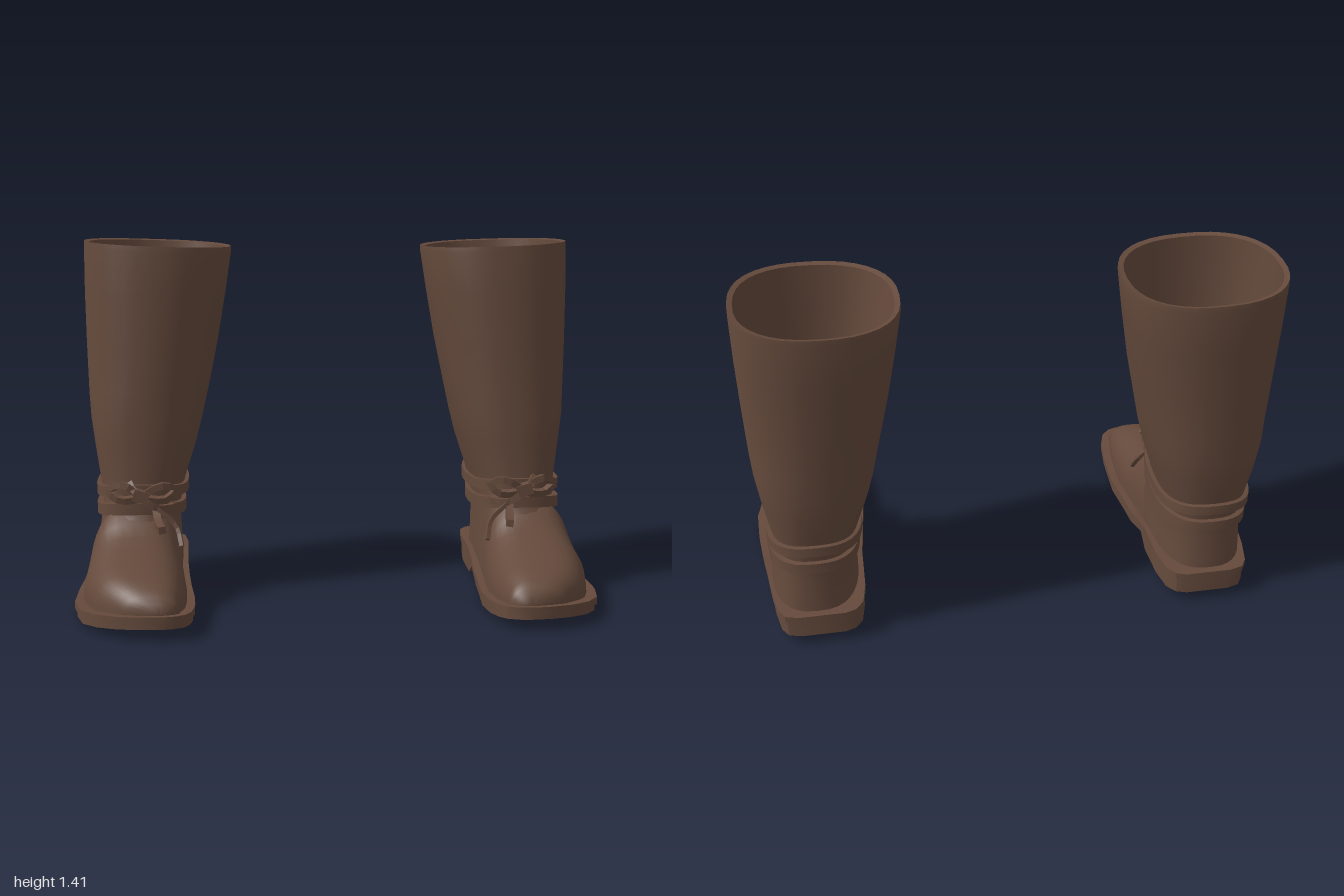
import * as THREE from 'three';
import { toCreasedNormals } from 'three/addons/utils/BufferGeometryUtils.js';

// Linear lookup in rows of [key, a, b, ...] sorted by key
function lookup(rows, k) {
  let i = 0;
  while (i < rows.length - 2 && k > rows[i + 1][0]) i++;
  const a = rows[i], b = rows[i + 1];
  const t = THREE.MathUtils.clamp((k - a[0]) / (b[0] - a[0]), 0, 1);
  return a.slice(1).map((v, j) => v + (b[j + 1] - v) * t);
}

// Skin over closed rings of [x, y, z]; ends are capped, or joined when loop is true
function loft(rings, crease = 0.6, loop = false) {
  const n = rings[0].length, m = rings.length, pts = rings.flat(), idx = [];
  for (let r = 0; r < (loop ? m : m - 1); r++) for (let i = 0; i < n; i++) {
    const j = (i + 1) % n, s = ((r + 1) % m) * n;
    idx.push(r * n + i, r * n + j, s + j, r * n + i, s + j, s + i);
  }
  if (!loop) [0, m - 1].forEach((r) => {
    const c = pts.length;
    pts.push([0, 1, 2].map((k) => rings[r].reduce((sum, p) => sum + p[k], 0) / n));
    for (let i = 0; i < n; i++) {
      const a = r * n + i, b = r * n + (i + 1) % n;
      idx.push(c, ...(r ? [a, b] : [b, a]));
    }
  });
  // Turn all faces outward
  let volume = 0;
  const [a, b, c] = [0, 1, 2].map(() => new THREE.Vector3());
  for (let i = 0; i < idx.length; i += 3) {
    a.fromArray(pts[idx[i]]); b.fromArray(pts[idx[i + 1]]); c.fromArray(pts[idx[i + 2]]);
    volume += a.dot(b.cross(c));
  }
  if (volume < 0) idx.reverse();
  const g = new THREE.BufferGeometry();
  g.setAttribute('position', new THREE.Float32BufferAttribute(pts.flat(), 3));
  g.setIndex(idx);
  return toCreasedNormals(g, crease);
}

// Mirror a geometry in x and keep its faces outward
function mirrored(geometry) {
  const g = geometry.index ? geometry.toNonIndexed() : geometry.clone();
  g.applyMatrix4(new THREE.Matrix4().makeScale(-1, 1, 1));
  for (const attr of Object.values(g.attributes)) {
    const s = attr.itemSize, arr = attr.array;
    for (let i = 0; i < arr.length; i += 3 * s) for (let k = 0; k < s; k++) {
      [arr[i + s + k], arr[i + 2 * s + k]] = [arr[i + 2 * s + k], arr[i + s + k]];
    }
  }
  return g;
}

const power = (v, n) => Math.sign(v) * Math.abs(v) ** (2 / n);

// Rounded-square point at angle t for bounds [x0, x1, z0, z1]
function around([x0, x1, z0, z1], t, n, grow = 0) {
  return [
    (x0 + x1) / 2 + ((x1 - x0) / 2 + grow) * power(Math.cos(t), n),
    (z0 + z1) / 2 + ((z1 - z0) / 2 + grow) * power(Math.sin(t), n),
  ];
}

// Sole plan: z, inner x, outer x
const plan = [
  [-0.505, 0.67, 0.85], [-0.49, 0.63, 0.9], [-0.45, 0.6, 0.925], [-0.35, 0.585, 0.945], [-0.1, 0.58, 0.975],
  [0.1, 0.565, 0.995], [0.25, 0.55, 1], [0.4, 0.55, 0.965], [0.5, 0.56, 0.905], [0.56, 0.58, 0.83],
  [0.59, 0.615, 0.75], [0.6, 0.65, 0.7],
];
// Sole heights: z, bottom, top
const heights = [
  [-0.505, 0.045, 0.143], [-0.19, 0.02, 0.132], [-0.12, 0.06, 0.112], [-0.05, 0.035, 0.088], [0.01, 0.015, 0.075],
  [0.25, 0, 0.058], [0.4, 0.015, 0.068], [0.6, 0.045, 0.092],
];
// Top of the foot: z, y
const instep = [
  [-0.1, 0.29], [0, 0.37], [0.03, 0.365], [0.08, 0.312], [0.15, 0.272], [0.23, 0.245], [0.32, 0.22], [0.4, 0.204],
  [0.45, 0.19], [0.5, 0.17], [0.535, 0.148], [0.555, 0.125], [0.567, 0.1],
];
// Leg outline: y, x0, x1, z0, z1
const leg = [
  [0.09, 0.6, 0.945, -0.477, 0.12], [0.2, 0.605, 0.94, -0.475, 0.14], [0.3, 0.61, 0.925, -0.472, 0.085],
  [0.38, 0.605, 0.92, -0.475, 0.035], [0.45, 0.588, 0.928, -0.49, 0.03], [0.6, 0.54, 0.95, -0.522, 0.03],
  [0.7, 0.515, 0.963, -0.532, 0.028], [0.8, 0.492, 0.97, -0.54, 0.025], [1, 0.45, 0.976, -0.556, 0.02],
  [1.2, 0.416, 0.98, -0.576, 0.014], [1.37, 0.392, 0.98, -0.596, 0.01], [1.39, 0.393, 0.979, -0.595, 0.008],
];
// Inner wall, from the mouth down to the insole
const lining = [
  [1.385, 0.412, 0.96, -0.577, -0.012], [1.2, 0.436, 0.958, -0.556, -0.01], [0.8, 0.515, 0.945, -0.518, 0.0],
  [0.6, 0.562, 0.926, -0.5, 0.004], [0.38, 0.63, 0.897, -0.452, 0], [0.3, 0.632, 0.897, -0.45, -0.1],
  [0.16, 0.63, 0.9, -0.45, -0.11],
];

const STEPS = 36;
const turn = (fn) => Array.from({ length: STEPS }, (_, i) => fn(i / STEPS * Math.PI * 2));

// Hollow shaft with a mouth that rises to the back and outer side
function shaftGeometry() {
  const ring = ([y, ...bounds]) => turn((t) => {
    const [x, z] = around(bounds, t, y > 0.7 ? 2.35 : 2.6);
    const tilt = y > 1.3 ? 0.012 * Math.cos(t) - 0.012 * Math.sin(t) : 0;
    return [x, y + tilt, z];
  });
  return loft([...leg, ...lining].map(ring), 0.7);
}

// Domed foot from instep to toe
function footGeometry() {
  const rings = instep.map(([z, top]) => {
    const [a, b] = lookup(plan, z + 0.028), base = lookup(heights, z)[1] - 0.01;
    const inset = z > 0.5 ? 0.018 : 0.03, mid = (a + b) / 2, half = (b - a) / 2 - inset;
    const ring = [];
    for (let i = 0; i <= 20; i++) {
      const t = i / 20 * Math.PI;
      ring.push([mid + half * power(Math.cos(t), 2.7), base + (top - base) * power(Math.sin(t), 2.5), z]);
    }
    return ring;
  });
  return loft(rings, 0.9);
}

// Slab that follows the sole plan; level(z) gives [bottom, top]
function slabGeometry(inset, level) {
  const zs = [...new Set([...plan, ...heights].map((r) => r[0]))].sort((a, b) => a - b);
  return loft(zs.map((z) => {
    const [a, b] = lookup(plan, z), [y0, y1] = level(z), zz = z * (1 - inset);
    return [[a + inset, y0, zz], [b - inset, y0, zz], [b - inset, y1, zz], [a + inset, y1, zz]];
  }), 0.5);
}

// Flat band wrapped round the ankle
function strapGeometry(height, width) {
  return loft(turn((t) => {
    const y = height(t), bounds = lookup(leg, y);
    return [[-0.01, -1], [0.02, -1], [0.02, 1], [-0.01, 1]].map(([grow, side]) => {
      const [x, z] = around(bounds, t, 2.6, grow);
      return [x, y + side * width / 2, z];
    });
  }), 0.5, true);
}

// Thick lace through a few points
function laceGeometry(points, w = 0.013) {
  const path = new THREE.CatmullRomCurve3(points.map((p) => new THREE.Vector3(...p)));
  const shape = new THREE.Shape([[-w, -w], [w, -w], [w, w], [-w, w]].map((p) => new THREE.Vector2(...p)));
  return new THREE.ExtrudeGeometry(shape, { steps: 10, extrudePath: path, bevelEnabled: false });
}

export function createModel() {
  const leather = new THREE.MeshStandardMaterial({ color: 0x654a3c });
  leather.name = 'brown leather';

  const parts = {
    shaft: shaftGeometry(),
    foot: footGeometry(),
    welt: slabGeometry(0, (z) => { const y = lookup(heights, z)[1]; return [y - 0.028, y]; }),
    soleAndHeel: slabGeometry(0.007, (z) => { const [a, b] = lookup(heights, z); return [a, b - 0.015]; }),
    lowerStrap: strapGeometry((t) => 0.352 + 0.014 * Math.abs(Math.sin(t)) - 0.012 * Math.cos(t) ** 2, 0.045),
    upperStrap: strapGeometry((t) => 0.418 + 0.03 * Math.sin(t) ** 2 - 0.01 * Math.sin(t), 0.04),
    knot: new THREE.BoxGeometry(0.06, 0.045, 0.05).rotateZ(0.3).translate(0.755, 0.42, 0.07),
    innerBow: laceGeometry([[0.75, 0.42, 0.07], [0.68, 0.46, 0.08], [0.62, 0.445, 0.06], [0.66, 0.405, 0.07], [0.75, 0.41, 0.07]]),
    outerBow: laceGeometry([[0.76, 0.42, 0.07], [0.82, 0.465, 0.07], [0.88, 0.44, 0.04], [0.84, 0.405, 0.06], [0.76, 0.41, 0.07]]),
    crossLace: laceGeometry([[0.63, 0.37, 0.04], [0.7, 0.375, 0.075], [0.78, 0.44, 0.075], [0.8, 0.47, 0.055]]),
    hangingLace: laceGeometry([[0.74, 0.41, 0.07], [0.68, 0.36, 0.08], [0.62, 0.3, 0.085], [0.6, 0.23, 0.12]], 0.008),
    laceEnd: laceGeometry([[0.7, 0.36, 0.06], [0.69, 0.325, 0.11], [0.68, 0.313, 0.16], [0.67, 0.313, 0.205]], 0.014),
  };

  const model = new THREE.Group();
  model.name = 'pairOfBoots';
  for (const side of ['left', 'right']) {
    const boot = new THREE.Group();
    boot.name = side + 'Boot';
    for (const [name, geometry] of Object.entries(parts)) {
      const mesh = new THREE.Mesh(side === 'left' ? geometry : mirrored(geometry), leather);
      mesh.name = name;
      boot.add(mesh);
    }
    model.add(boot);
  }
  return model;
}
